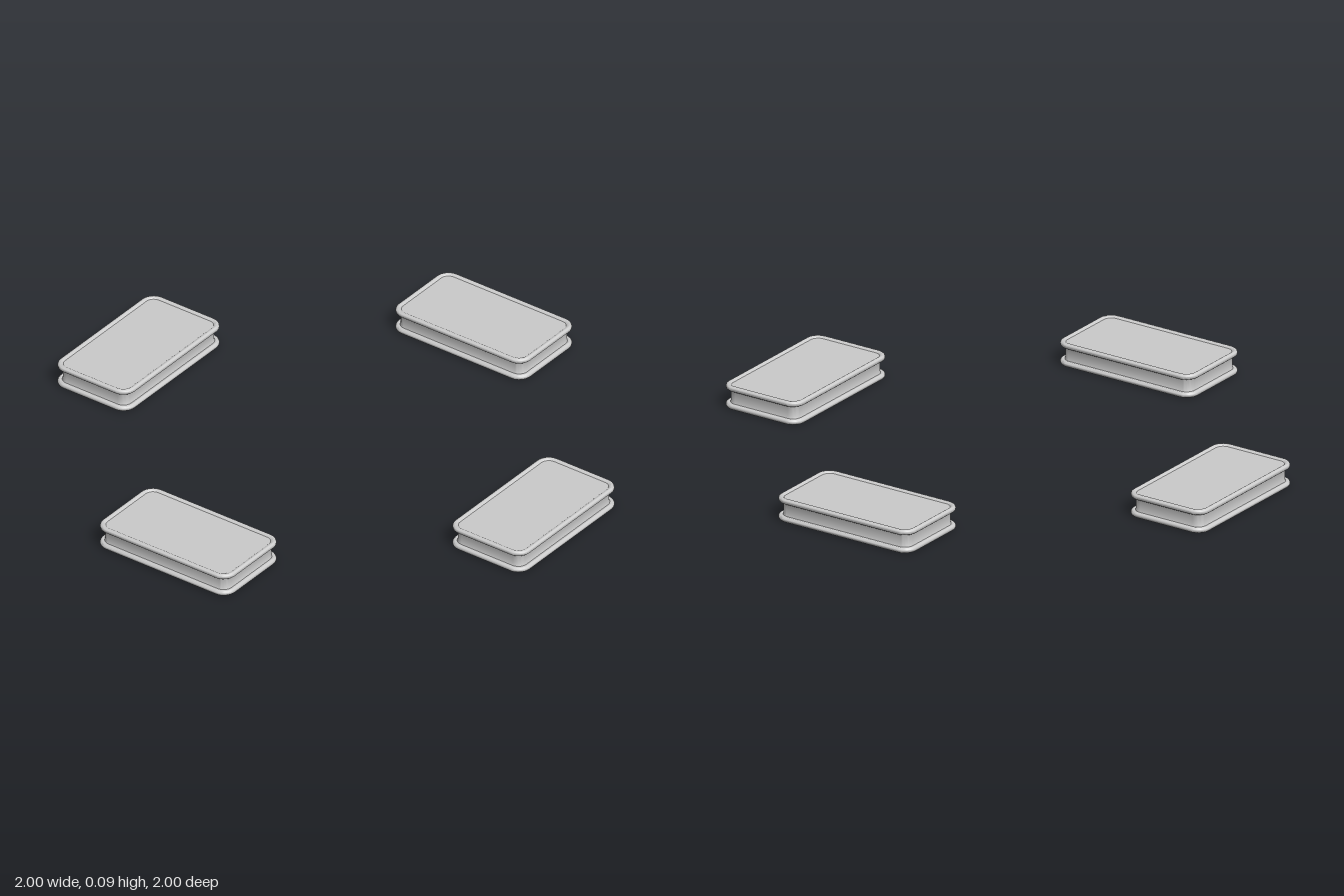
import * as THREE from 'three';
import { toCreasedNormals } from 'three/addons/utils/BufferGeometryUtils.js';

const W = 0.564, D = 0.318, H = 0.086, R = 0.05, BEAD = 0.01, SEG = 8;

// Rounded-rectangle outline, inset by d; d = null collapses it to the centre
function ring(d, y) {
  const pts = [];
  for (let c = 0; c < 4; c++) {
    const sx = c === 0 || c === 3 ? 1 : -1, sz = c < 2 ? 1 : -1;
    for (let i = 0; i <= SEG; i++) {
      const a = (c + i / SEG) * Math.PI / 2;
      if (d === null) pts.push([0, y, 0]);
      else pts.push([
        sx * (W / 2 - R) + (R - d) * Math.cos(a), y,
        sz * (D / 2 - R) + (R - d) * Math.sin(a)]);
    }
  }
  return pts;
}

// Half-round bead profile centred at height y, as [inset, height]
function bead(y, from, to) {
  const out = [];
  for (let i = 0; i <= 8; i++) {
    const a = from + (to - from) * i / 8;
    out.push([BEAD - BEAD * Math.cos(a), y + BEAD * Math.sin(a)]);
  }
  return out;
}

// Skin the outline along the edge profile, from bottom centre to top centre
function padGeometry() {
  const profile = [
    [null, 0],
    ...bead(BEAD, -Math.PI / 2, Math.PI * 0.7),
    [0.018, 0.024], [0.018, H - 0.024],
    ...bead(H - BEAD, -Math.PI * 0.7, Math.PI * 0.75),
    [0.02, H - 0.006],
    [null, H - 0.006],
  ];
  const rings = profile.map(([d, y]) => ring(d, y));
  const n = rings[0].length, pos = [];
  for (let i = 0; i < rings.length - 1; i++) {
    for (let j = 0; j < n; j++) {
      const k = (j + 1) % n;
      const a = rings[i][j], b = rings[i][k], c = rings[i + 1][j], e = rings[i + 1][k];
      if (i < rings.length - 2) pos.push(...a, ...c, ...e);
      else pos.push(...a, ...c, ...b);
      if (i > 0 && i < rings.length - 2) pos.push(...a, ...e, ...b);
    }
  }
  const g = new THREE.BufferGeometry();
  g.setAttribute('position', new THREE.Float32BufferAttribute(pos, 3));
  return toCreasedNormals(g, Math.PI / 5);
}

export function createModel() {
  const model = new THREE.Group();
  model.name = 'cushionSet';
  const material = new THREE.MeshStandardMaterial({ color: 0xcccccc });
  const geometry = padGeometry();

  // Four beaded floor cushions around an empty square
  ['frontCushion', 'leftCushion', 'backCushion', 'rightCushion'].forEach((name, i) => {
    const a = i * Math.PI / 2, r = 1 - D / 2;
    const pad = new THREE.Mesh(geometry, material);
    pad.name = name;
    pad.position.set(Math.sin(a) * r, 0, Math.cos(a) * r);
    pad.rotation.y = a;
    model.add(pad);
  });
  return model;
}
